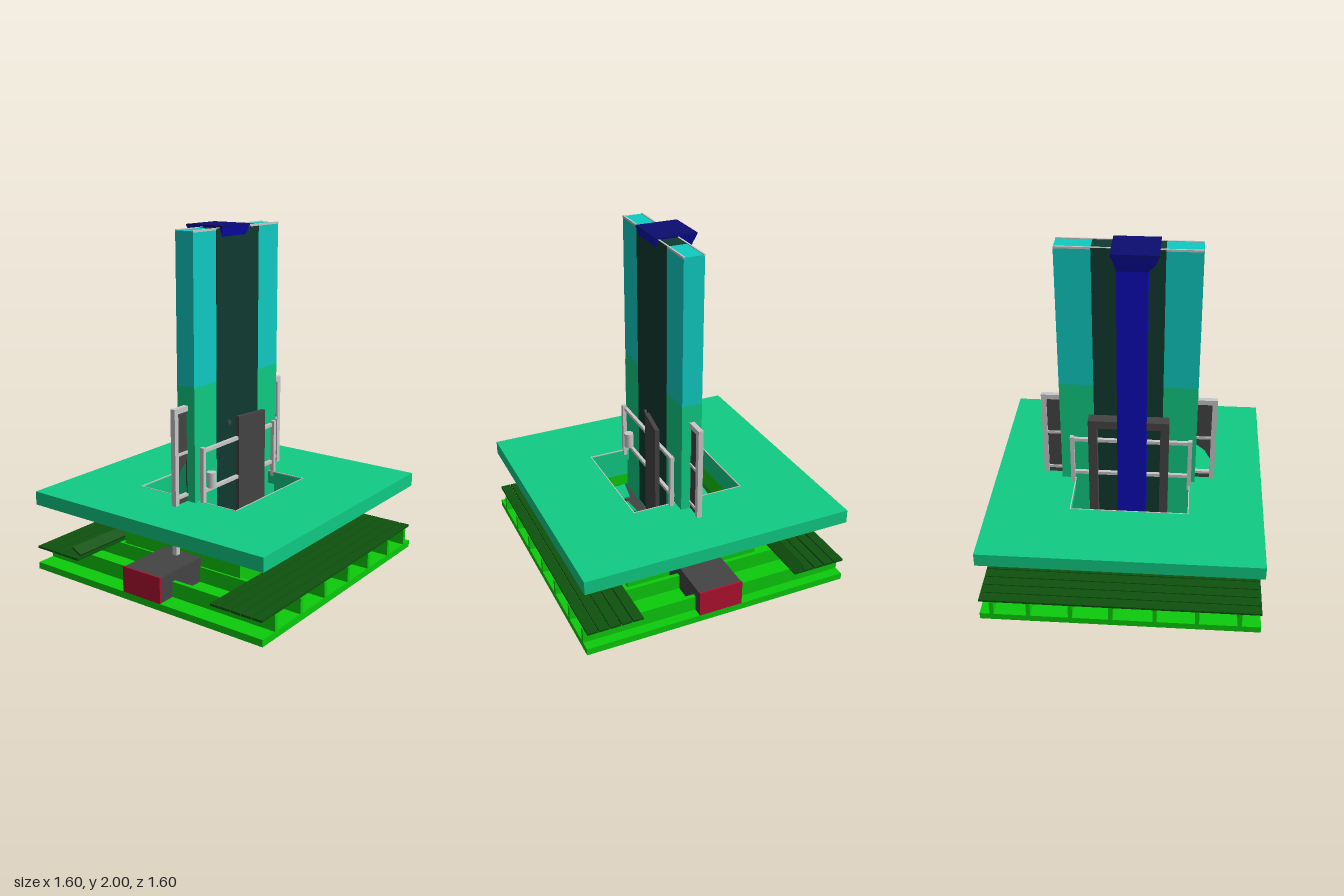
import * as THREE from 'three';

const mat = (name, color) => {
  const m = new THREE.MeshStandardMaterial({ color, side: THREE.DoubleSide });
  m.name = name;
  return m;
};

export function createModel() {
  const M = {
    green: mat('bright green', 0x0ccb0c),
    darkGreen: mat('dark green', 0x0e520e),
    mint: mat('mint green', 0x10cb84),
    cyan: mat('cyan', 0x0ecbc2),
    shadow: mat('deep teal', 0x103a30),
    blue: mat('blue', 0x0c0cb8),
    navy: mat('navy', 0x0c0c70),
    grey: mat('dark grey', 0x444444),
    light: mat('light grey', 0xc8c8c8),
    red: mat('red', 0xb01030),
  };
  const root = new THREE.Group();

  const add = (name, geo, m, parent = root) => {
    const mesh = new THREE.Mesh(geo, m);
    mesh.name = name;
    parent.add(mesh);
    return mesh;
  };
  // Box given by its minimum and maximum along each axis
  const box = (name, m, x0, x1, y0, y1, z0, z1, parent = root) => {
    const b = add(name, new THREE.BoxGeometry(x1 - x0, y1 - y0, z1 - z0), m, parent);
    b.position.set((x0 + x1) / 2, (y0 + y1) / 2, (z0 + z1) / 2);
    return b;
  };
  const rect = (P, x0, x1, y0, y1) => {
    const p = new P();
    p.moveTo(x0, y0);
    p.lineTo(x1, y0);
    p.lineTo(x1, y1);
    p.lineTo(x0, y1);
    p.closePath();
    return p;
  };

  // Base plate, joists and the deck planks along front and back
  box('basePlate', M.green, -0.8, 0.8, 0, 0.04, -0.8, 0.8);
  for (const x of [-0.68, -0.44, -0.2, 0.05, 0.28, 0.52, 0.73]) {
    box('joist', M.green, x - 0.012, x + 0.012, 0.04, 0.13, -0.8, 0.8);
  }
  for (const start of [0.47, -0.8]) {
    for (let i = 0; i < 5; i++) {
      const z = start + i * 0.066;
      box('deckPlank', M.darkGreen, -0.8, 0.8, 0.13, 0.143, z, z + 0.06);
    }
  }
  const loose = box('loosePlank', M.darkGreen, -0.8, 0.8, 0.165, 0.177, -0.53, -0.46);
  loose.rotation.set(0.5, 0, -0.02);

  // Long duct with red end plates, and slots beneath
  box('duct', M.grey, -0.79, 0.79, 0.04, 0.185, -0.13, 0.13);
  for (const s of [-1, 1]) {
    box('ductEnd', M.red, s * 0.795 - 0.005, s * 0.795 + 0.005, 0.04, 0.19, -0.132, 0.132);
    box('baseSlot', M.grey, s * 0.62 - 0.14, s * 0.62 + 0.14, -0.001, 0.002, -0.03, 0.03);
  }
  box('baseHatch', M.grey, -0.09, 0.03, -0.001, 0.002, -0.05, 0.04);

  // Open pit under the platform: green lower wall, mint upper wall
  const pitWalls = (name, m, y0, y1) => {
    const g = new THREE.Group();
    g.name = name;
    box('wall', m, -0.44, 0.4, y0, y1, 0.39, 0.4, g);
    box('wall', m, -0.44, 0.4, y0, y1, -0.44, -0.43, g);
    box('wall', m, -0.44, -0.43, y0, y1, -0.43, 0.39, g);
    box('wall', m, 0.39, 0.4, y0, y1, -0.43, 0.39, g);
    root.add(g);
  };
  pitWalls('pitLowerWall', M.green, 0.04, 0.26);
  pitWalls('pitUpperWall', M.mint, 0.26, 0.4);
  for (let i = 0; i < 6; i++) {
    const z = -0.43 + i * 0.138;
    box('pitPlank', M.darkGreen, -0.43, 0.39, 0.132, 0.145, z, z + 0.128);
  }
  box('pitStrip', M.green, 0, 0.3, 0.145, 0.15, -0.27, -0.2);
  box('pitLedge', M.grey, -0.3, 0.31, 0.145, 0.195, -0.2, -0.06);

  // Tilted slabs lying in the pit: x, z, width, depth, turn
  const slabs = [
    [-0.13, -0.28, 0.25, 0.16, 0.05], [-0.1, 0.23, 0.14, 0.15, 0.03],
    [0.17, 0.23, 0.13, 0.16, -0.25], [-0.29, 0.17, 0.12, 0.12, -0.15],
    [-0.28, -0.13, 0.15, 0.09, -0.1], [0.23, 0.15, 0.13, 0.09, -0.15],
  ];
  slabs.forEach(([x, z, w, d, turn], i) => {
    const s = add('fallenSlab', new THREE.BoxGeometry(w, 0.012, d), M.mint);
    s.position.set(x, 0.22, z);
    s.rotation.set(i % 2 ? 0.2 : -0.2, turn, i % 3 ? 0.15 : -0.15);
  });

  // Platform with a rectangular opening
  const deck = rect(THREE.Shape, -0.8, 0.8, -0.8, 0.8);
  deck.holes.push(rect(THREE.Path, -0.37, 0.32, -0.32, 0.37));
  const deckGeo = new THREE.ExtrudeGeometry(deck, { depth: 0.08, bevelEnabled: false });
  deckGeo.rotateX(-Math.PI / 2);
  add('platform', deckGeo, M.mint).position.y = 0.4;
  // Thin lip round the opening
  const lip = rect(THREE.Shape, -0.37, 0.32, -0.32, 0.37);
  lip.holes.push(rect(THREE.Path, -0.364, 0.314, -0.314, 0.364));
  const lipGeo = new THREE.ExtrudeGeometry(lip, { depth: 0.006, bevelEnabled: false });
  lipGeo.rotateX(-Math.PI / 2);
  add('openingLip', lipGeo, M.light).position.y = 0.476;

  // Tower slab in two colours with a dark central strip
  box('towerLower', M.mint, -0.4, 0.4, 0.14, 1.14, -0.06, 0.06);
  box('towerUpper', M.cyan, -0.4, 0.4, 1.14, 1.985, -0.06, 0.06);
  box('towerStrip', M.shadow, -0.2, 0.2, 0.2, 1.987, -0.062, 0.062);
  for (const s of [-1, 1]) {
    box('towerTopEdge', M.light, -0.4, 0.4, 1.978, 1.99, s * 0.057 - 0.005, s * 0.057 + 0.005);
  }

  // Blue flue at the back, widening into a cap over the tower
  box('flue', M.blue, -0.11, 0.06, 0.2, 1.9, -0.135, -0.06);
  const sections = [
    [1.89, -0.11, 0.06, -0.135, -0.06],
    [1.94, -0.15, 0.07, -0.153, 0.064],
    [1.992, -0.17, 0.09, -0.17, 0.08],
  ];
  const pos = [];
  const idx = [];
  for (const [y, x0, x1, z0, z1] of sections) {
    pos.push(x0, y, z1, x1, y, z1, x1, y, z0, x0, y, z0);
  }
  for (let r = 0; r < sections.length - 1; r++) {
    for (let k = 0; k < 4; k++) {
      const a = r * 4 + k;
      const b = r * 4 + ((k + 1) % 4);
      idx.push(a, b, b + 4, a, b + 4, a + 4);
    }
  }
  const capIndexed = new THREE.BufferGeometry();
  capIndexed.setAttribute('position', new THREE.Float32BufferAttribute(pos, 3));
  capIndexed.setIndex(idx);
  const capGeo = capIndexed.toNonIndexed();
  capGeo.computeVertexNormals();
  add('flueCap', capGeo, M.blue);
  box('flueCapTop', M.navy, -0.17, 0.09, 1.992, 2, -0.17, 0.08);

  // Grey arch around the flue
  box('archPost', M.grey, -0.24, -0.19, 0.19, 0.94, -0.132, -0.062);
  box('archPost', M.grey, 0.18, 0.23, 0.19, 0.94, -0.132, -0.062);
  box('archBeam', M.grey, -0.19, 0.18, 0.89, 0.94, -0.132, -0.062);

  // Door standing ajar on the front, with a small knob above it
  const door = box('door', M.grey, -0.03, 0.19, 0.2, 0.905, 0.085, 0.11);
  door.rotation.y = -0.15;
  const knob = add('knob', new THREE.CylinderGeometry(0.015, 0.015, 0.012, 12), M.grey);
  knob.position.set(-0.09, 0.88, 0.066);
  knob.rotation.x = Math.PI / 2;

  // Railings front and back
  for (const s of [-1, 1]) {
    const g = new THREE.Group();
    g.name = s > 0 ? 'frontRailing' : 'backRailing';
    for (const x of [-0.365, 0.33]) box('railPost', M.light, x - 0.012, x + 0.012, 0.45, 0.8, 0.078, 0.102, g);
    for (const y of [0.54, 0.775]) box('rail', M.light, -0.365, 0.33, y - 0.01, y + 0.01, 0.07, 0.09, g);
    g.scale.z = s;
    root.add(g);
  }
  add('canister', new THREE.CylinderGeometry(0.028, 0.028, 0.09, 16), M.light).position.set(-0.29, 0.595, 0.092);

  // Side frames with rungs and infill panels; the right one is broken
  for (const s of [-1, 1]) {
    const g = new THREE.Group();
    g.name = s > 0 ? 'leftFrame' : 'rightFrame';
    const xs = (a, b) => (s > 0 ? [a, b] : [-b, -a]);
    box('frameUpright', M.light, ...xs(0.485, 0.515), 0.19, 1.035, -0.015, 0.015, g);
    box('frameTop', M.light, ...xs(0.4, 0.485), 1.005, 1.035, -0.015, 0.015, g);
    for (const y of [0.275, 0.52, 0.77]) {
      box('frameRung', M.light, ...xs(0.4, 0.485), y - 0.008, y + 0.008, -0.012, 0.012, g);
    }
    box('lowerPanel', M.grey, ...xs(0.4, 0.485), 0.275, 0.52, -0.004, 0.004, g);
    const panel = new THREE.Shape();
    panel.moveTo(s * 0.4, 0.52);
    if (s > 0) panel.lineTo(0.485, 0.52);
    else {
      panel.lineTo(-0.4, 0.72);
      panel.lineTo(-0.45, 0.68);
      panel.lineTo(-0.485, 0.62);
    }
    panel.lineTo(s * 0.485, 1.005);
    panel.lineTo(s * 0.4, 1.005);
    panel.closePath();
    add('upperPanel', new THREE.ExtrudeGeometry(panel, { depth: 0.008, bevelEnabled: false }), M.grey, g).position.z = -0.004;
    root.add(g);
  }
  return root;
}
